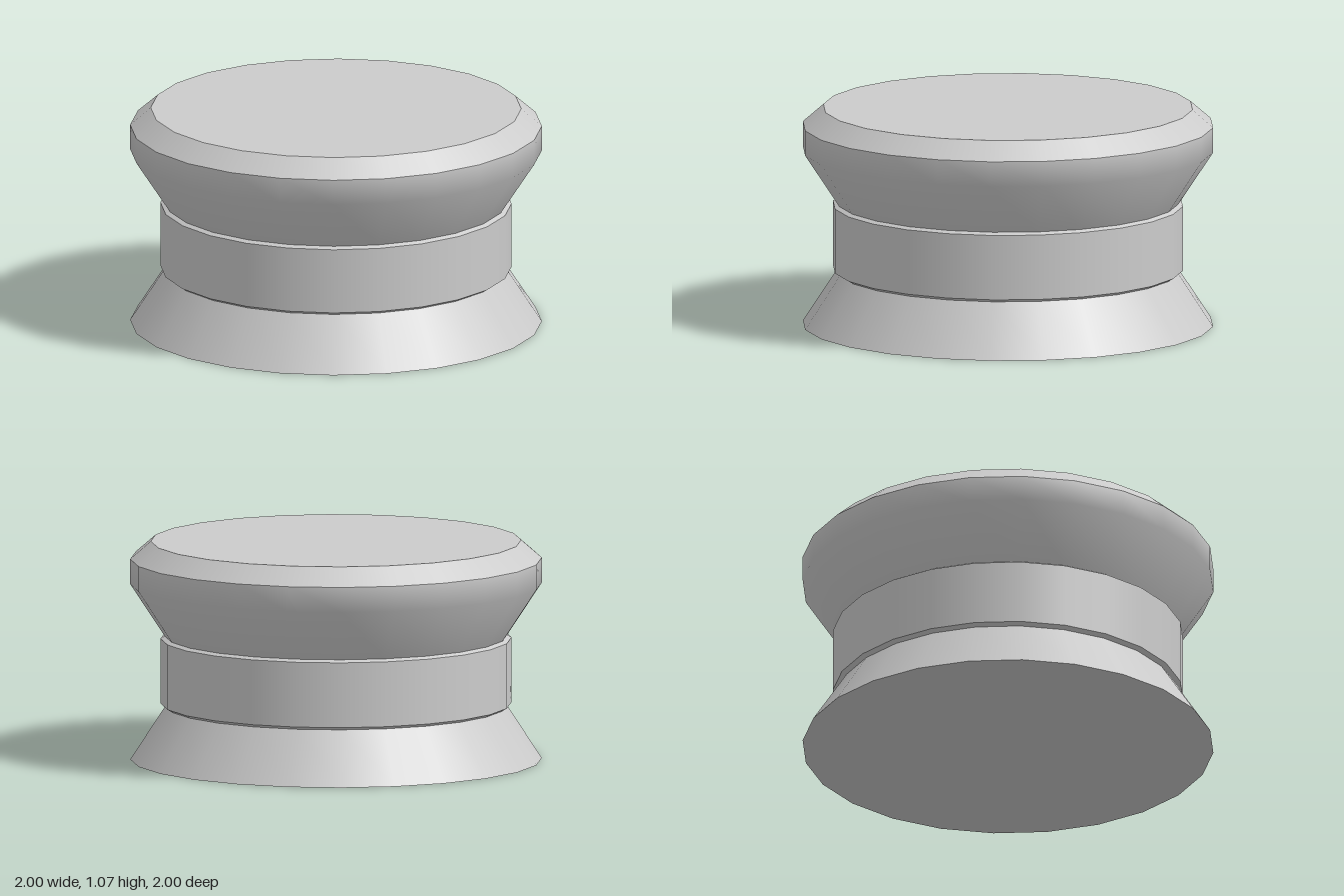
import * as THREE from 'three';

const SIDES = 24;

export function createModel() {
  const model = new THREE.Group();
  model.name = 'spool';
  const material = new THREE.MeshStandardMaterial({ color: 0xcccccc });

  const add = (name, geometry) => {
    const mesh = new THREE.Mesh(geometry, material);
    mesh.name = name;
    model.add(mesh);
    return mesh;
  };

  // Turned sections, [radius, height] from bottom to top: smooth within each, sharp between them
  const sections = {
    baseFlare: [[1, 0], [0.83, 0.26]],
    bandLowerBevel: [[0.83, 0.26], [0.853, 0.274]],
    band: [[0.853, 0.274], [0.853, 0.592]],
    bandUpperBevel: [[0.853, 0.592], [0.832, 0.604]],
    upperFlareAndRim: [[0.832, 0.604], [1, 0.86], [1, 0.983]],
    topBevel: [[1, 0.983], [0.9, 1.07]],
  };
  for (const [name, profile] of Object.entries(sections)) {
    const points = profile.map(([r, y]) => new THREE.Vector2(r, y));
    add(name, new THREE.LatheGeometry(points, SIDES));
  }

  // Flat end faces
  const top = add('topFace', new THREE.CircleGeometry(0.9, SIDES).rotateX(-Math.PI / 2));
  top.position.y = 1.07;
  add('bottomFace', new THREE.CircleGeometry(1, SIDES).rotateX(Math.PI / 2));

  return model;
}
